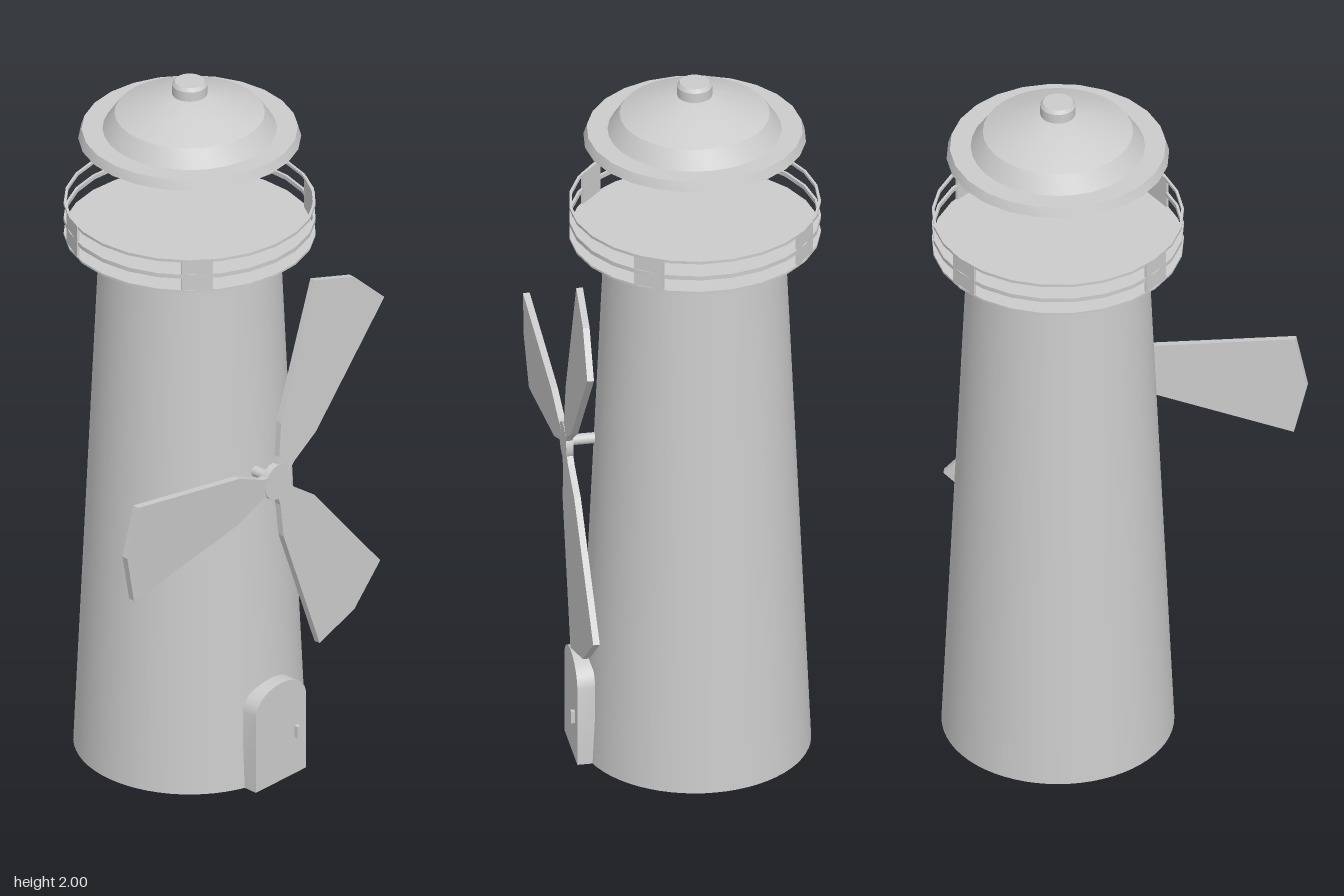
import * as THREE from 'three';
import { toCreasedNormals } from 'three/addons/utils/BufferGeometryUtils.js';

const grey = new THREE.MeshStandardMaterial({ color: 0xcccccc });
const greyOpen = new THREE.MeshStandardMaterial({ color: 0xcccccc, side: THREE.DoubleSide });

function part(name, geometry, parent, material = grey) {
  const mesh = new THREE.Mesh(geometry, material);
  mesh.name = name;
  parent.add(mesh);
  return mesh;
}

// Turned solid from [radius, height] pairs, listed from the bottom up the outside
function turned(points, sides) {
  const profile = points.map(([r, y]) => new THREE.Vector2(r, y));
  return toCreasedNormals(new THREE.LatheGeometry(profile, sides), 0.4);
}

export function createModel() {
  const model = new THREE.Group();
  model.name = 'lighthouseWindmill';

  // Everything round shares the tower axis
  const tower = new THREE.Group();
  tower.name = 'tower';
  tower.position.set(-0.017, 0, -0.108);
  model.add(tower);

  // Tapered wall, open underneath
  part('towerWall', new THREE.CylinderGeometry(0.24, 0.31, 1.545, 64, 1, true), tower, greyOpen).position.y = 0.7725;

  // Gallery floor, rails and posts
  const R = 0.336, sides = 25;
  part('galleryFloor', new THREE.CylinderGeometry(R, R, 0.006, sides), tower).position.y = 1.545;
  for (const [y0, y1] of [[1.583, 1.595], [1.632, 1.64]]) {
    part('galleryRail', turned([[R - 0.007, y0], [R, y0], [R, y1], [R - 0.007, y1], [R - 0.007, y0]], sides), tower);
  }
  for (const degrees of [-27, 47, 148, 232]) {
    const a = THREE.MathUtils.degToRad(degrees);
    const post = part('galleryPost', new THREE.BoxGeometry(0.085, 0.095, 0.007), tower);
    post.position.set(Math.sin(a) * (R - 0.007), 1.5925, Math.cos(a) * (R - 0.007));
    post.rotation.y = a;
  }

  // Floating domed roof with a flared brim and a knob
  part('roofBrim', turned([[0, 1.83], [0.297, 1.83], [0.288, 1.857], [0, 1.857]], 24), tower);
  part('roofDome', turned([[0.232, 1.857], [0.2, 1.905], [0.13, 1.935], [0.047, 1.962], [0, 1.966]], 32), tower);
  part('roofKnob', turned([[0.047, 1.95], [0.047, 1.99], [0.04, 2], [0, 2]], 24), tower);

  // Arched door on the +x side; local x points to -z and local z to +x
  const door = new THREE.Group();
  door.name = 'door';
  door.position.set(0.27, 0, -0.108);
  door.rotation.y = Math.PI / 2;
  model.add(door);
  const arch = new THREE.Shape();
  arch.moveTo(-0.097, 0);
  arch.lineTo(0.097, 0);
  arch.lineTo(0.097, 0.23);
  arch.bezierCurveTo(0.085, 0.317, -0.085, 0.317, -0.097, 0.23);
  arch.closePath();
  part('doorLeaf', toCreasedNormals(
    new THREE.ExtrudeGeometry(arch, { depth: 0.048, bevelEnabled: false, curveSegments: 16 }), 0.6), door);
  part('doorHandle', new THREE.BoxGeometry(0.012, 0.035, 0.012), door).position.set(0.058, 0.127, 0.053);

  // Three-bladed sail wheel, set up like the door
  const wheel = new THREE.Group();
  wheel.name = 'sailWheel';
  wheel.position.set(0.325, 0.925, -0.082);
  wheel.rotation.y = Math.PI / 2;
  model.add(wheel);

  const axle = part('axle', new THREE.CylinderGeometry(0.015, 0.015, 0.11, 20), wheel);
  axle.rotation.x = Math.PI / 2;
  axle.position.z = -0.06;
  const hub = part('hub', new THREE.CylinderGeometry(0.052, 0.052, 0.02, 20), wheel);
  hub.rotation.x = Math.PI / 2;

  const outline = [[0.03, -0.025], [0.065, -0.032], [0.155, -0.073], [0.55, -0.145], [0.584, 0],
    [0.55, 0.145], [0.155, 0.073], [0.065, 0.032], [0.03, 0.025]];
  const bladeShape = new THREE.Shape(outline.map(([u, v]) => new THREE.Vector2(u, v)));
  const bladeGeometry = new THREE.ExtrudeGeometry(bladeShape, { depth: 0.018, bevelEnabled: false });
  bladeGeometry.translate(0, 0, -0.009);
  for (const degrees of [60, 180, 300]) {
    const arm = new THREE.Group();
    arm.name = 'sail';
    arm.rotation.z = THREE.MathUtils.degToRad(degrees);
    wheel.add(arm);
    part('sailBlade', bladeGeometry, arm).rotation.x = -0.055; // slight pitch
  }
  return model;
}
